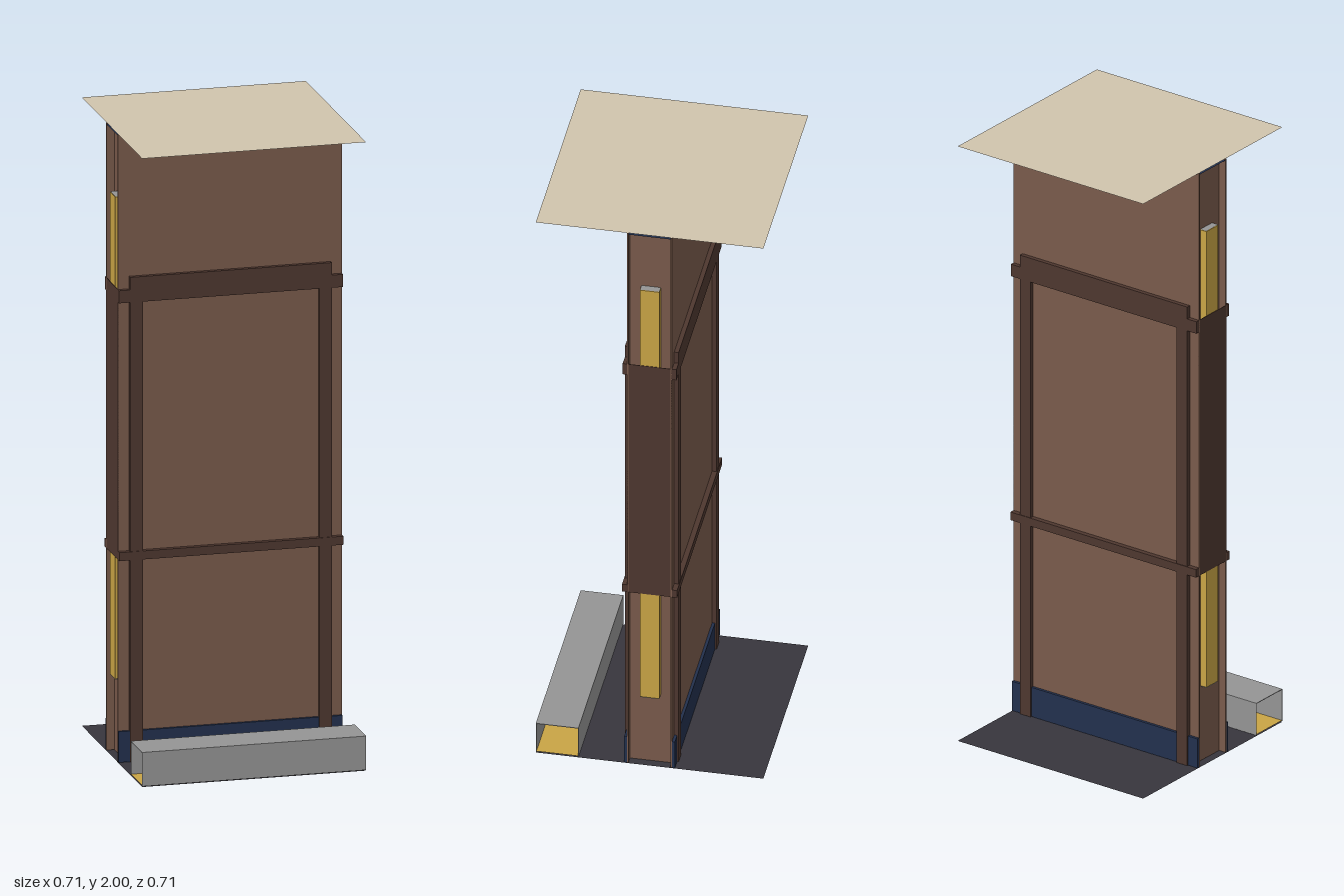
import * as THREE from 'three';

const mat = (name, color) => {
  const m = new THREE.MeshStandardMaterial({ color, side: THREE.DoubleSide });
  m.name = name;
  return m;
};

export function createModel() {
  const brown = mat('brown wall', 0x795a4b);
  const darkBrown = mat('dark brown trim', 0x4e372f);
  const grey = mat('grey metal', 0x949494);
  const yellow = mat('yellow', 0xc9a445);
  const navy = mat('navy', 0x22304d);
  const beige = mat('beige ceiling', 0xd0c4ad);
  const charcoal = mat('charcoal floor', 0x37353d);

  const root = new THREE.Group();
  const W = 0.355; // half width of the tile
  const T = 0.07;  // half thickness of the wall

  // Box given by its lower and upper bounds on each axis
  const box = (name, material, [x0, x1], [y0, y1], [z0, z1]) => {
    const m = new THREE.Mesh(new THREE.BoxGeometry(x1 - x0, y1 - y0, z1 - z0), material);
    m.position.set((x0 + x1) / 2, (y0 + y1) / 2, (z0 + z1) / 2);
    m.name = name;
    root.add(m);
  };
  // Horizontal sheet
  const sheet = (name, material, y, [x0, x1], [z0, z1]) => {
    const m = new THREE.Mesh(new THREE.PlaneGeometry(x1 - x0, z1 - z0).rotateX(-Math.PI / 2), material);
    m.position.set((x0 + x1) / 2, y, (z0 + z1) / 2);
    m.name = name;
    root.add(m);
  };
  const span = (s, a, b) => (s > 0 ? [a, b] : [-b, -a]);

  // Floor and ceiling sheets
  sheet('floor', charcoal, 0, [-W, W], [-W, W]);
  sheet('ceiling', beige, 2, [-W, W], [-W, W]);
  sheet('wallCap', navy, 1.994, [-W, W], [-T, T]);

  // Front and back faces of the wall with their timber frame
  for (const s of [1, -1]) {
    box('wallPanel', brown, [-W, W], [0.002, 1.998], span(s, T - 0.004, T));
    box('baseboard', navy, [-W, W], [0.002, 0.1], span(s, T, 0.079));
    for (const side of [1, -1]) {
      box('framePost', darkBrown, span(side, 0.28, 0.32), [0.002, 1.465], span(s, T, 0.084));
      box('headerBeltEnd', darkBrown, span(side, 0.32, W), [1.465, 1.505], span(s, T, 0.084));
    }
    box('frameHeader', darkBrown, [-0.32, 0.32], [1.465, 1.545], span(s, T, 0.084));
    box('lowerBelt', darkBrown, [-W, W], [0.645, 0.672], span(s, T, 0.086));
  }

  // Recessed wall ends with yellow column and dark cover
  for (const s of [1, -1]) {
    box('endWeb', brown, span(s, 0.325, 0.33), [0.002, 1.992], [-T + 0.004, T - 0.004]);
    box('endColumn', yellow, span(s, 0.33, 0.353), [0.255, 1.788], [-0.03, 0.03]);
    sheet('columnTop', grey, 1.79, span(s, 0.33, 0.353), [-0.03, 0.03]);
    sheet('columnBottom', grey, 0.253, span(s, 0.33, 0.353), [-0.03, 0.03]);
    box('endCover', darkBrown, span(s, 0.3535, 0.355), [0.645, 1.505], [-T, T]);
  }

  // Open-ended grey duct along the front edge with a yellow bottom
  const z0 = 0.222, h = 0.11, t = 0.002;
  box('ductFront', grey, [-W, W], [0.002, h], [W - t, W]);
  box('ductBack', grey, [-W, W], [0.002, h], [z0, z0 + t]);
  box('ductTop', grey, [-W, W], [h - t, h], [z0 + t, W - t]);
  sheet('ductBottom', yellow, 0.005, [-W, W], [z0 + t, W - t]);

  return root;
}
